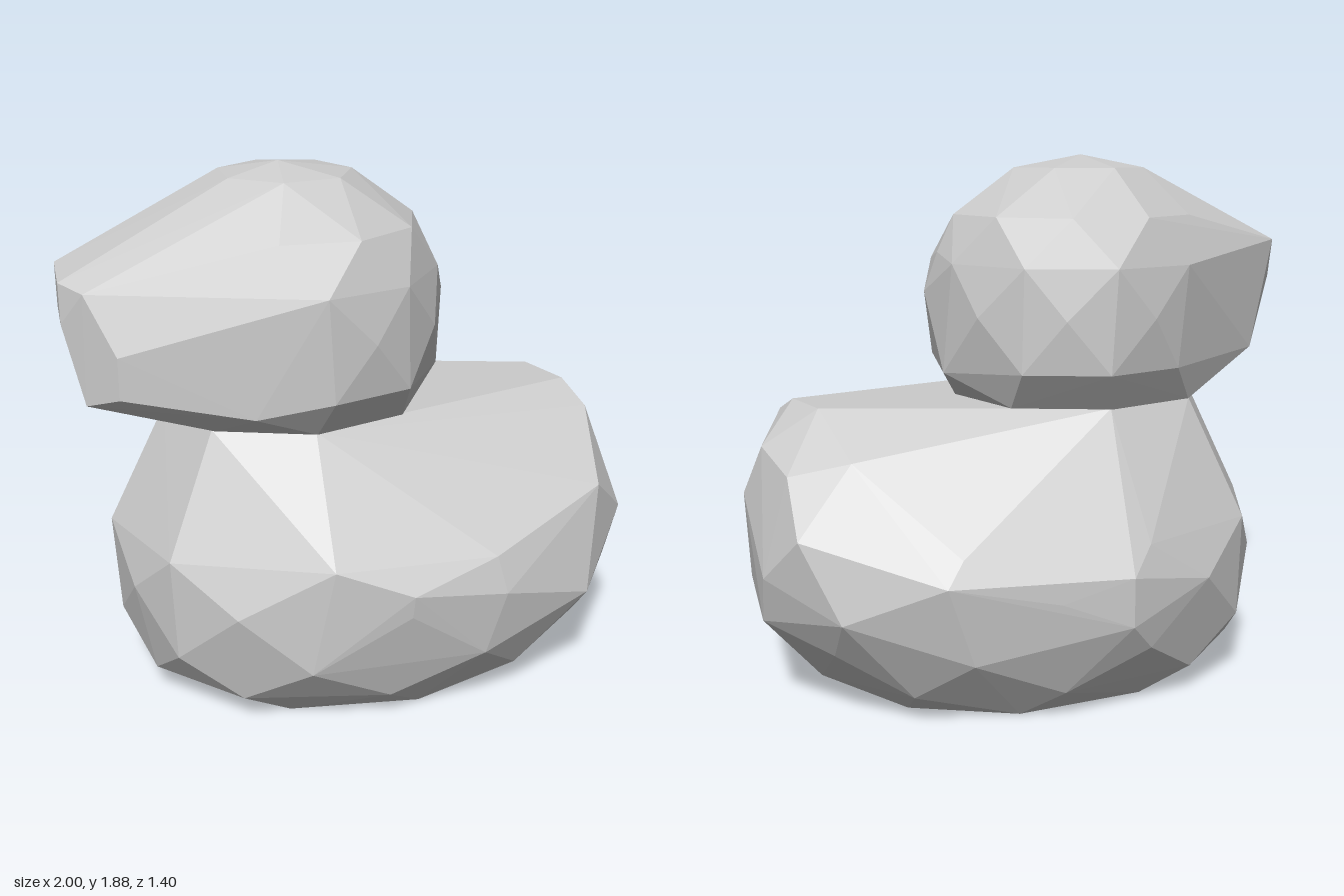
import * as THREE from 'three';
import { ConvexGeometry } from 'three/addons/geometries/ConvexGeometry.js';

const material = new THREE.MeshStandardMaterial({ color: 0xcccccc, flatShading: true });

// Points of a horizontal, slightly squared oval ring; turn staggers its corners
function ring(y, xMin, xMax, rz, count, turn = 0, square = 0.9) {
  const soft = (v) => Math.sign(v) * Math.abs(v) ** square;
  const cx = (xMin + xMax) / 2, rx = (xMax - xMin) / 2;
  return Array.from({ length: count }, (_, i) => {
    const a = ((i + turn) / count) * Math.PI * 2;
    return new THREE.Vector3(cx + rx * soft(Math.cos(a)), y, rz * soft(Math.sin(a)));
  });
}

const points = (list) => list.map((p) => new THREE.Vector3(...p));

// Faceted solid wrapped around rings and single points
function facetedPart(name, pts) {
  const mesh = new THREE.Mesh(new ConvexGeometry(pts), material);
  mesh.name = name;
  return mesh;
}

export function createModel() {
  const group = new THREE.Group();
  group.name = 'duck';

  // Plump body with a flat base, full flanks and a raised tail
  const tail = points([
    [0.81, 1.03, 0.08], [0.75, 1.03, -0.13], [0.84, 0.97, 0.23], [0.94, 0.90, -0.08],
    [0.88, 0.84, -0.30], [0.68, 0.89, -0.38], [1.00, 0.72, 0.00], [0.81, 0.75, 0.45],
    [0.87, 0.66, -0.45], [0.97, 0.59, 0.30], [0.97, 0.35, 0.20], [0.97, 0.33, -0.23],
    [0.97, 0.50, -0.30],
  ]);
  const flanks = points([
    [0.75, 0.38, 0.54], [0.40, 0.48, 0.66], [0.06, 0.53, 0.70], [-0.20, 0.63, 0.66],
    [0.75, 0.40, -0.55], [0.43, 0.53, -0.67], [-0.19, 0.52, -0.70], [-0.19, 0.35, -0.70],
  ]);
  group.add(facetedPart('body', [
    ...ring(0, -0.6, 0.63, 0.5, 9),
    ...ring(0.1, -0.79, 0.81, 0.59, 10, 0.5),
    ...ring(0.25, -0.85, 0.91, 0.67, 10),
    ...ring(0.45, -0.86, 0.97, 0.69, 10, 0.5),
    ...ring(0.61, -0.87, 0.97, 0.66, 10),
    ...ring(1.03, -0.66, 0.25, 0.41, 8),
    ...tail,
    ...flanks,
  ]));

  // Round head drawn out into a blunt beak that turns a little to the front
  const beak = points([
    [-1.00, 1.56, 0.00], [-1.00, 1.42, 0.03], [-1.00, 1.55, 0.25], [-1.00, 1.42, 0.27],
    [-0.93, 1.53, 0.34], [-0.84, 1.34, 0.42], [-0.84, 1.20, 0.42], [-0.94, 1.16, 0.33],
    [-0.94, 1.16, 0.05], [-0.87, 1.17, -0.10], [-0.87, 1.37, -0.10],
  ]);
  const nape = points([[0.31, 1.13, -0.12], [0.34, 1.40, 0.04], [0.30, 1.54, 0.00], [-0.42, 1.12, 0.49]]);
  group.add(facetedPart('head', [
    ...ring(1.03, -0.65, 0.24, 0.43, 8),
    ...ring(1.16, -0.64, 0.31, 0.52, 10, 0.5, 1),
    ...ring(1.34, -0.68, 0.33, 0.515, 10, 0, 1),
    ...ring(1.51, -0.68, 0.31, 0.52, 10, 0.5, 1),
    ...ring(1.67, -0.62, 0.24, 0.45, 10, 0, 1),
    ...ring(1.83, -0.45, 0.02, 0.25, 7, 0, 1),
    new THREE.Vector3(-0.25, 1.875, 0.06),
    ...beak,
    ...nape,
  ]));

  return group;
}
